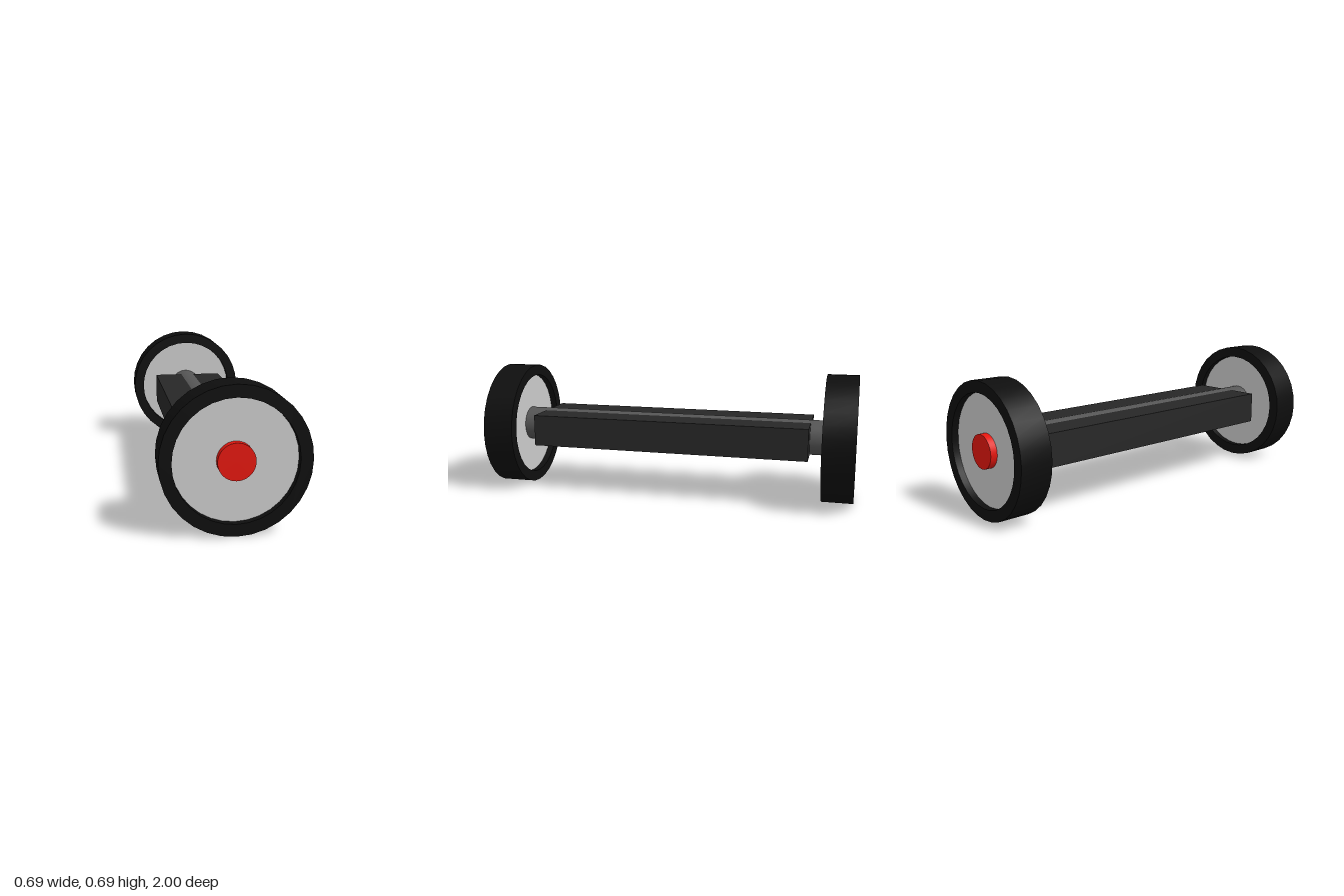
import * as THREE from 'three';
import { toCreasedNormals } from 'three/addons/utils/BufferGeometryUtils.js';

const AXIS_Y = 0.343;      // height of the axle line
const TYRE_R = 0.343, HUB_R = 0.285, TYRE_W = 0.167;
const RECESS = 0.035;      // hub plate sits this far inside the tyre faces

const paint = (color) => new THREE.MeshStandardMaterial({ color });
const black = paint(0x0e0e0e);
const darkGrey = paint(0x272727);
const steel = paint(0x555555);
const grey = paint(0xcccccc);
const red = paint(0xe3170f);

function part(name, geometry, material, z = 0) {
  const mesh = new THREE.Mesh(geometry, material);
  mesh.name = name;
  mesh.position.z = z;
  return mesh;
}

// Cylinder lying along z
const rod = (r, length, sides) =>
  new THREE.CylinderGeometry(r, r, length, sides).rotateX(Math.PI / 2);

// Ring with square edges, centred on z
function tyreGeometry() {
  const ring = new THREE.Shape().absarc(0, 0, TYRE_R, 0, Math.PI * 2);
  ring.holes.push(new THREE.Path().absarc(0, 0, HUB_R, 0, Math.PI * 2, true));
  const g = new THREE.ExtrudeGeometry(ring, { depth: TYRE_W, bevelEnabled: false, curveSegments: 16 });
  g.translate(0, 0, -TYRE_W / 2);
  return toCreasedNormals(g, Math.PI / 6);
}

// Wheel with its outer side facing +z
function wheel(name) {
  const group = new THREE.Group();
  group.name = name;
  group.add(
    part('tyre', tyreGeometry(), black),
    part('hubPlate', rod(HUB_R, TYRE_W - 2 * RECESS, 32), grey),
    part('hubCap', rod(0.086, RECESS, 48), red, TYRE_W / 2 - RECESS / 2)
  );
  return group;
}

export function createModel() {
  const model = new THREE.Group();
  model.name = 'wheelAxle';

  // Axle rod, showing slightly above and below the flat beam around it
  const axle = part('axle', rod(0.094, 1.76, 48), steel);
  const beam = part('beam', new THREE.BoxGeometry(0.41, 0.171, 1.52), darkGrey);

  const front = wheel('frontWheel');
  front.position.z = 1 - TYRE_W / 2;
  const back = wheel('backWheel');
  back.position.z = -front.position.z;
  back.rotation.y = Math.PI;

  for (const p of [axle, beam, front, back]) {
    p.position.y = AXIS_Y;
    model.add(p);
  }
  return model;
}
